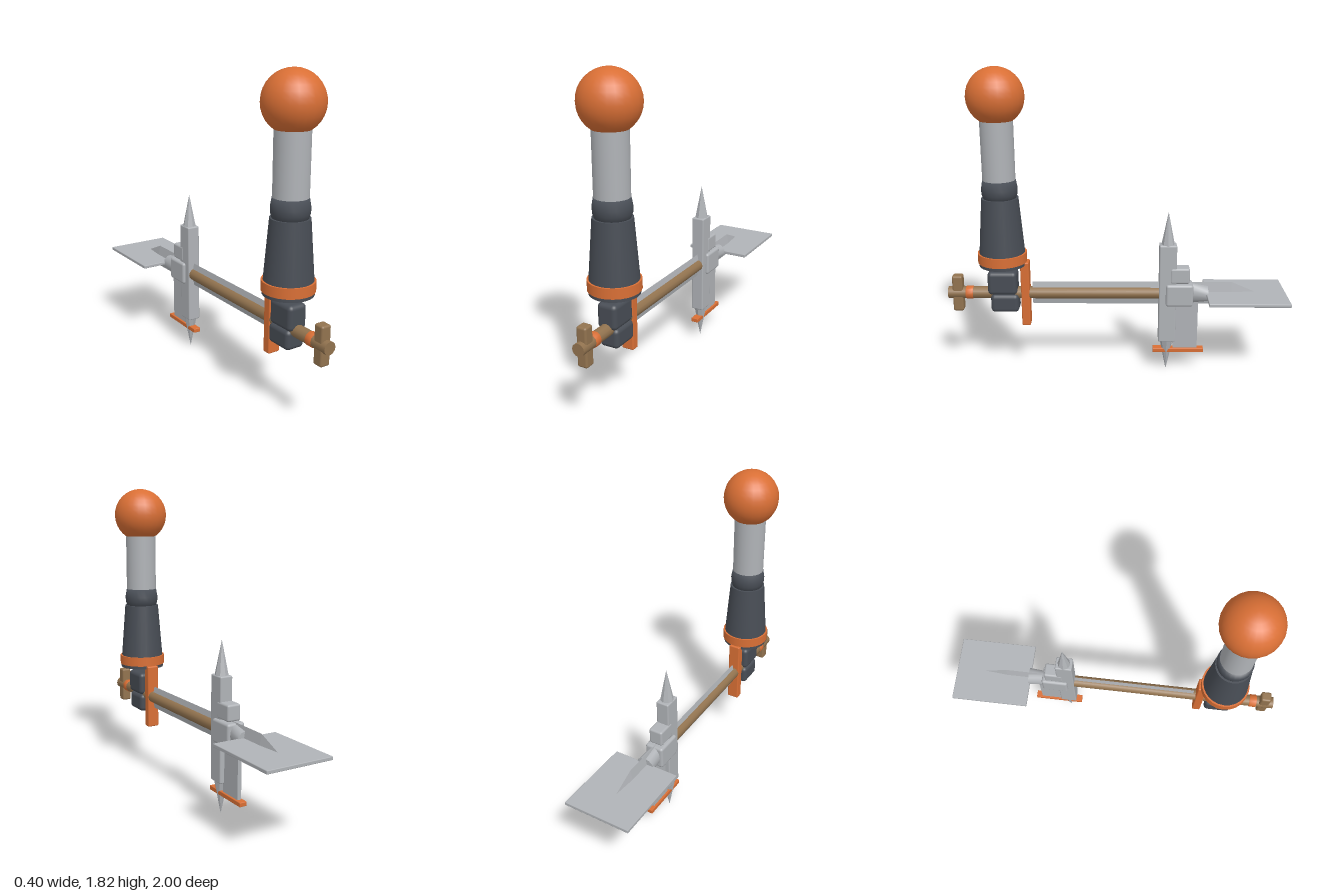
import * as THREE from 'three';
import { RoundedBoxGeometry } from 'three/addons/geometries/RoundedBoxGeometry.js';

const paint = (name, color) => {
  const m = new THREE.MeshStandardMaterial({ color });
  m.name = name;
  return m;
};

export function createModel() {
  const model = new THREE.Group();
  model.name = 'model';
  const orange = paint('orange', 0xd96f35);
  const dark = paint('darkGrey', 0x484d55);
  const steel = paint('steel', 0xb0b3b7);
  const wood = paint('brown', 0x92734f);

  const add = (name, geometry, material, x, y, z) => {
    const mesh = new THREE.Mesh(geometry, material);
    mesh.name = name;
    mesh.position.set(x, y, z);
    model.add(mesh);
    return mesh;
  };
  // Rounded block given by its half width and its y and z limits
  const block = (name, material, hx, y0, y1, z0, z1, r = 0.01, seg = 2) =>
    add(name, new RoundedBoxGeometry(hx * 2, y1 - y0, z1 - z0, seg, r), material,
      0, (y0 + y1) / 2, (z0 + z1) / 2);
  // Upright turned part
  const turned = (name, material, rTop, rBottom, y0, y1, sides = 24) =>
    add(name, new THREE.CylinderGeometry(rTop, rBottom, y1 - y0, sides), material,
      0, (y0 + y1) / 2, 0.67);

  // Upright column with a ball on top
  add('ball', new THREE.SphereGeometry(0.163, 24, 16), orange, 0, 1.66, 0.67);
  turned('columnTube', steel, 0.094, 0.094, 1.14, 1.56);
  const collar = [[0, 1.07], [0.09, 1.07], [0.102, 1.11], [0.104, 1.14], [0.095, 1.19], [0, 1.19]]
    .map(([r, y]) => new THREE.Vector2(r, y));
  add('columnCollar', new THREE.LatheGeometry(collar, 24), dark, 0, 0, 0.67);
  turned('columnSleeve', dark, 0.106, 0.134, 0.74, 1.085);
  turned('columnRing', orange, 0.143, 0.143, 0.7, 0.757);
  turned('columnFoot', dark, 0.137, 0.137, 0.68, 0.705);

  // Clamp that joins the column to the shaft
  block('clampUpper', dark, 0.058, 0.5, 0.642, 0.587, 0.76, 0.025, 3);
  block('clampLower', dark, 0.058, 0.39, 0.502, 0.58, 0.745, 0.025, 3);

  // Round shaft with end cross and ring
  const shaft = add('shaft', new THREE.CylinderGeometry(0.036, 0.036, 1.26, 12), wood, 0, 0.5, 0.37);
  shaft.rotation.x = Math.PI / 2;
  block('endCross', wood, 0.03, 0.39, 0.61, 0.912, 0.974, 0.012);
  const ring = [[0, -0.031], [0.028, -0.031], [0.039, -0.018], [0.039, 0.018], [0.028, 0.031], [0, 0.031]]
    .map(([r, y]) => new THREE.Vector2(r, y));
  add('shaftRing', new THREE.LatheGeometry(ring, 16), orange, 0, 0.5, 0.874).rotation.x = Math.PI / 2;
  block('crossGuard', orange, 0.037, 0.3, 0.7, 0.515, 0.566, 0.008);

  // Long blade of diamond section, tapering to a point
  const sections = [[0.5, 1], [-0.68, 1], [-0.84, 0]];
  const corners = [[0, 0.07], [0.014, 0], [0, -0.07], [-0.014, 0]];
  const points = [];
  const at = (s, c) => [corners[c % 4][0] * sections[s][1], corners[c % 4][1] * sections[s][1], sections[s][0]];
  for (let c = 0; c < 4; c++) {
    for (let s = 0; s < 2; s++) {
      points.push(...at(s, c), ...at(s, c + 1), ...at(s + 1, c));
      if (s === 0) points.push(...at(s + 1, c), ...at(s, c + 1), ...at(s + 1, c + 1));
    }
    points.push(0, 0, 0.5, ...at(0, c + 1), ...at(0, c));
  }
  const bladeGeometry = new THREE.BufferGeometry();
  bladeGeometry.setAttribute('position', new THREE.Float32BufferAttribute(points, 3));
  bladeGeometry.computeVertexNormals();
  const bladeSteel = paint('bladeSteel', 0xb0b3b7);
  bladeSteel.side = THREE.DoubleSide;
  add('blade', bladeGeometry, bladeSteel, 0, 0.5, 0);

  // Upright head with a faceted spike at each end
  block('head', steel, 0.039, 0.195, 0.805, -0.352, -0.25, 0.008);
  for (const up of [1, -1]) {
    const cone = new THREE.ConeGeometry(0.04, 0.2, 8).toNonIndexed();
    cone.computeVertexNormals();
    const spike = add(up > 0 ? 'upperSpike' : 'lowerSpike', cone, steel, 0, 0.5 + up * 0.4, -0.3);
    if (up < 0) spike.rotation.x = Math.PI;
  }

  // Blocks behind the head
  block('topBlock', steel, 0.042, 0.57, 0.665, -0.43, -0.315, 0.012);
  block('sideBlock', steel, 0.056, 0.43, 0.566, -0.452, -0.29, 0.015);

  // Socket that gets wider and flatter toward the plate
  const socket = new THREE.CylinderGeometry(1, 1, 0.1, 12);
  socket.rotateX(Math.PI / 2);
  const p = socket.attributes.position;
  for (let i = 0; i < p.count; i++) {
    const rear = p.getZ(i) < 0;
    p.setX(i, p.getX(i) * (rear ? 0.053 : 0.04));
    p.setY(i, p.getY(i) * (rear ? 0.047 : 0.063));
  }
  socket.computeVertexNormals();
  add('socket', socket, steel, 0, 0.5, -0.49);

  // Flat rear plate
  block('rearPlate', steel, 0.2, 0.49, 0.51, -1, -0.53, 0.004, 1);

  // Lower fin and its foot bar
  add('lowerFin', new THREE.BoxGeometry(0.024, 0.32, 0.145), steel, 0, 0.3, -0.413);
  block('footBar', orange, 0.023, 0.119, 0.145, -0.525, -0.218, 0.004, 1);

  return model;
}
